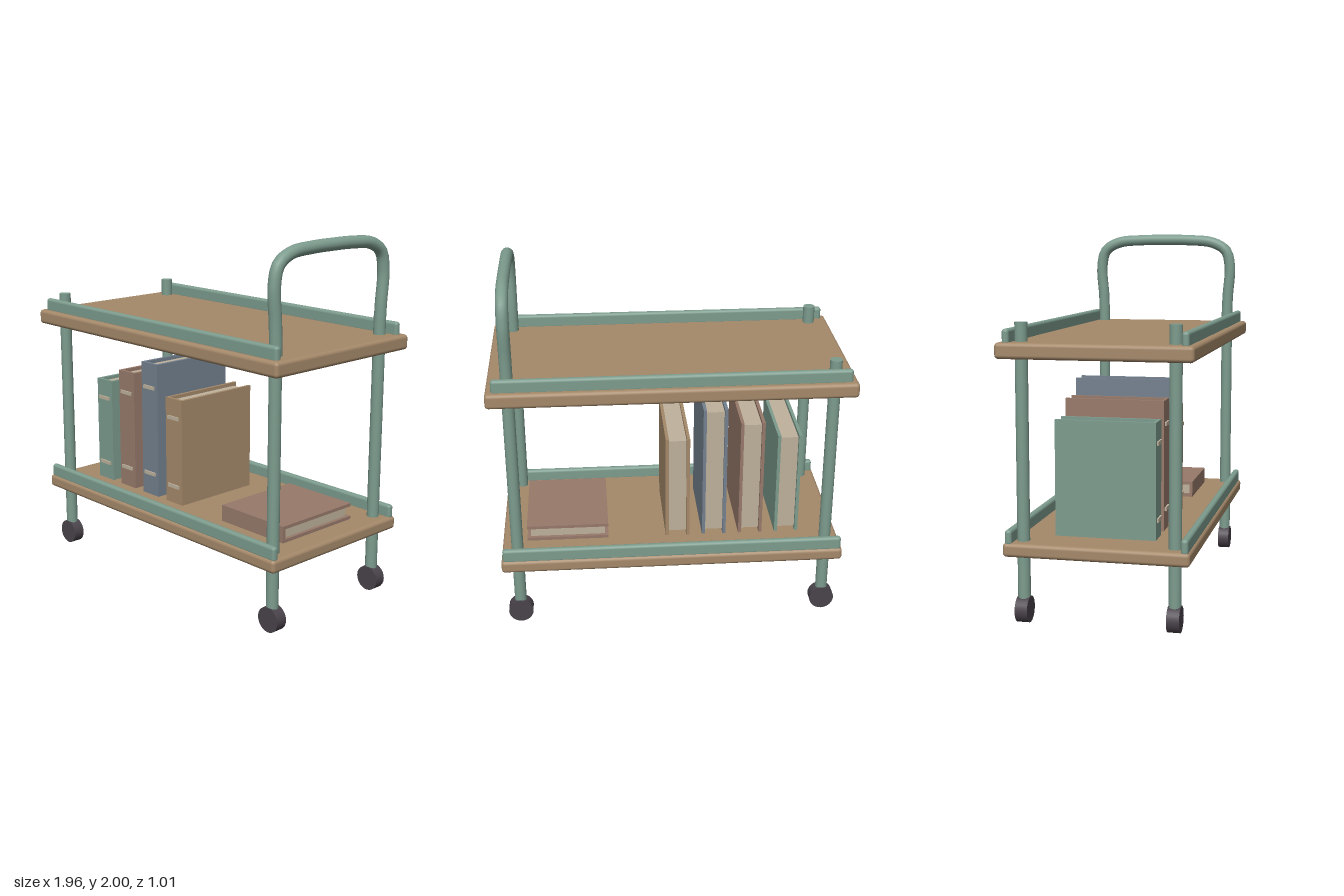
import * as THREE from 'three';
import { RoundedBoxGeometry } from 'three/addons/geometries/RoundedBoxGeometry.js';

const mat = (name, color) => {
  const m = new THREE.MeshStandardMaterial({ color });
  m.name = name;
  return m;
};

export function createModel() {
  const wood = mat('wood', 0xa5896a);
  const green = mat('sage green', 0x7d9c8e);
  const rubber = mat('dark rubber', 0x4a434b);
  const paper = mat('paper', 0xbfb29c);
  const rose = mat('dusty rose', 0x987a6b);
  const blue = mat('slate blue', 0x74818f);

  const cart = new THREE.Group();
  cart.name = 'bookCart';

  const add = (parent, name, geometry, material, x = 0, y = 0, z = 0) => {
    const m = new THREE.Mesh(geometry, material);
    m.name = name;
    m.position.set(x, y, z);
    parent.add(m);
    return m;
  };
  const box = (w, h, d) => new THREE.BoxGeometry(w, h, d);

  // Shelves, each with a low rail along front and back
  const shelf = (name, width, depth, bottom, top, railZ) => {
    add(cart, name, new RoundedBoxGeometry(width, top - bottom, depth, 3, 0.02), wood, 0, (top + bottom) / 2, 0);
    for (const s of [1, -1]) {
      add(cart, name + 'Rail', new RoundedBoxGeometry(1.89, 0.08, 0.037, 3, 0.016), green, 0, top + 0.027, s * railZ);
    }
  };
  shelf('topShelf', 1.955, 1.01, 1.375, 1.457, 0.456);
  shelf('lowerShelf', 1.907, 0.97, 0.36, 0.432, 0.456);

  // Posts and wheels at the four corners
  const postX = 0.864, postZ = 0.396, postR = 0.033;
  for (const sx of [1, -1]) {
    for (const sz of [1, -1]) {
      add(cart, 'post', new THREE.CylinderGeometry(postR, postR, 1.455, 20), green, sx * postX, 0.8275, sz * postZ);
      const wheel = add(cart, 'wheel', new THREE.CylinderGeometry(0.069, 0.069, 0.066, 24), rubber, sx * postX, 0.069, sz * postZ);
      wheel.rotation.x = Math.PI / 2;
    }
  }

  // Push handle arching between the two posts on the left end
  const half = [[0.396, 1.5], [0.4, 1.62], [0.411, 1.8], [0.385, 1.9], [0.3, 1.95], [0.15, 1.965]];
  const path = [...half, [0, 1.967], ...half.slice().reverse().map(([z, y]) => [-z, y])]
    .map(([z, y]) => new THREE.Vector3(postX, y, z));
  add(cart, 'handle', new THREE.TubeGeometry(new THREE.CatmullRomCurve3(path), 48, postR, 14), green);

  // Book standing on its end with the spine facing +z, origin at its base
  const book = (name, h, t, cover, bands) => {
    const g = new THREE.Group();
    g.name = name;
    const d = 0.535, c = 0.018, inset = 0.02;
    for (const s of [1, -1]) add(g, 'cover', box(c, h, d), cover, s * (t - c) / 2, h / 2, 0);
    add(g, 'spine', box(t - 2 * c, h, c), cover, 0, h / 2, (d - c) / 2);
    add(g, 'pages', box(t - 2 * c, h - 2 * inset, d - c - inset), paper, 0, h / 2, (inset - c) / 2);
    if (bands) {
      for (const f of [0.165, 0.82]) add(g, 'spineBand', box(0.092, 0.02, 0.009), paper, 0, h * f, d / 2 + 0.0045);
    }
    cart.add(g);
    return g;
  };

  // Row of upright books
  [[0.613, green], [0.698, rose], [0.783, blue], [0.613, wood]].forEach(([h, cover], i) => {
    book('uprightBook', h, 0.136, cover, true).position.set(-0.666 + i * 0.2083, 0.432, 0.003);
  });

  // Book lying flat
  const flat = book('flatBook', 0.46, 0.092, rose, false);
  flat.rotation.z = Math.PI / 2;
  flat.position.set(0.814, 0.478, 0.003);

  return cart;
}
